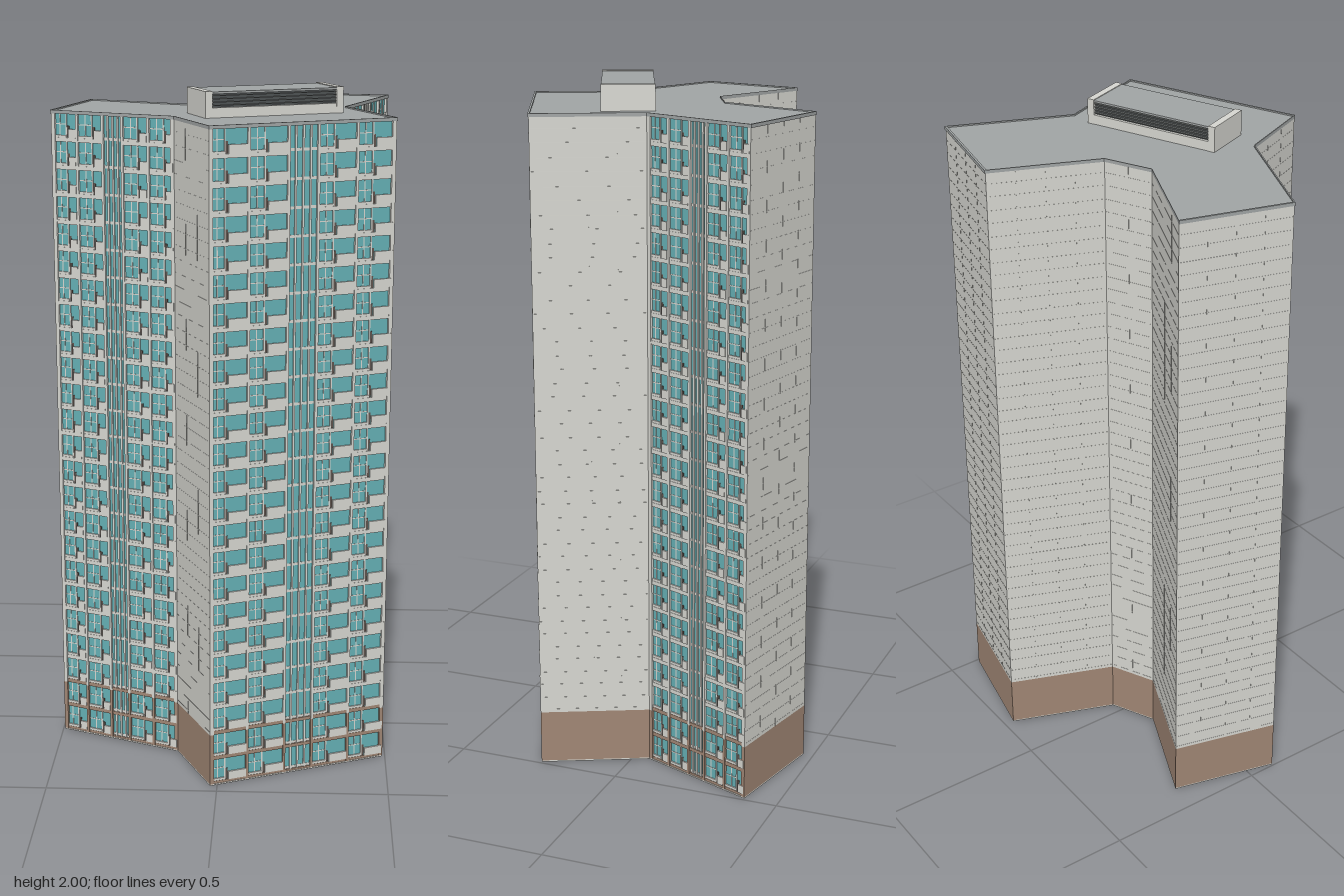
import * as THREE from 'three';
import { mergeGeometries } from 'three/addons/utils/BufferGeometryUtils.js';

const mat = (name, color) => {
  const m = new THREE.MeshStandardMaterial({ color });
  m.name = name;
  return m;
};

// Footprint corners as [x, z], ordered left to right when seen from outside
const PLAN = [
  [-0.495, 0.085], [-0.13, 0.235], [-0.02, 0.467], [0.492, 0.242], [0.355, -0.05],
  [0.492, -0.4], [0.155, -0.47], [0.035, -0.16], [-0.1, -0.095], [-0.412, -0.23],
];
// Edges (by start corner) that carry windows, with the balcony share of each bay
const FACADES = { 0: 0.42, 2: 0.6, 4: 0.42 };
const FLOORS = 24, PITCH = 0.08, BASE = 0.16, TOP = FLOORS * PITCH, DEPTH = 0.009;

export function createModel() {
  const M = {
    wall: mat('pale concrete', 0xd6d6d0),
    base: mat('brown base', 0xa08674),
    roof: mat('roof grey', 0xa0a4a4),
    glass: mat('teal glass', 0x64afb4),
    dark: mat('dark brown recess', 0x5e534d),
    louvre: mat('louvre dark grey', 0x4d5152),
    slat: mat('louvre slat grey', 0x787c7b),
  };
  const model = new THREE.Group();
  model.name = 'apartmentTower';

  const edge = (i) => {
    const a = PLAN[i], b = PLAN[(i + 1) % PLAN.length];
    const L = Math.hypot(b[0] - a[0], b[1] - a[1]);
    return { a, b, L, t: [(b[0] - a[0]) / L, (b[1] - a[1]) / L] };
  };

  // Horizontal slab from an outline, between two heights
  const toShape = (pts) => new THREE.Shape(pts.map(([x, z]) => new THREE.Vector2(x, -z)));
  const prism = (name, shape, y0, y1, material) => {
    const g = new THREE.ExtrudeGeometry(shape, { depth: y1 - y0, bevelEnabled: false });
    g.rotateX(-Math.PI / 2).translate(0, y0, 0);
    const mesh = new THREE.Mesh(g, material);
    mesh.name = name;
    model.add(mesh);
  };

  // Core outline: the window edges are recessed between solid corners
  const core = [];
  PLAN.forEach((p, i) => {
    core.push(p);
    if (!(i in FACADES)) return;
    const { a, b, t } = edge(i), c = 0.007;
    const n = [-t[1], t[0]];
    const at = (q, s, d) => [q[0] + t[0] * s - n[0] * d, q[1] + t[1] * s - n[1] * d];
    core.push(at(a, c, 0), at(a, c, DEPTH), at(b, -c, DEPTH), at(b, -c, 0));
  });
  prism('groundSlab', toShape(PLAN), 0, 0.004, M.wall);
  prism('baseWalls', toShape(core), 0.004, BASE, M.base);
  prism('towerWalls', toShape(core), BASE, TOP, M.wall);

  // Roof slab with a low, narrow rim
  const grow = (k) => PLAN.map(([x, z]) => [x * k, z * k]);
  prism('roofSlab', toShape(grow(1.005)), TOP, TOP + 0.006, M.roof);
  const rim = toShape(grow(1.005));
  rim.holes.push(toShape(grow(0.992)));
  prism('roofRim', rim, TOP + 0.006, TOP + 0.01, M.roof);

  // Collects boxes per material and merges them into one mesh each
  const collector = () => {
    const bins = new Map();
    return {
      box(key, x0, x1, y0, y1, z0, z1) {
        const g = new THREE.BoxGeometry(x1 - x0, y1 - y0, z1 - z0);
        g.translate((x0 + x1) / 2, (y0 + y1) / 2, (z0 + z1) / 2);
        if (!bins.has(key)) bins.set(key, []);
        bins.get(key).push(g);
      },
      finish(group, names) {
        for (const [key, list] of bins) {
          const mesh = new THREE.Mesh(mergeGeometries(list), M[key]);
          mesh.name = names[key];
          group.add(mesh);
        }
      },
    };
  };

  // Local x runs along the wall, local z points outward
  const wallGroup = (name, { a, t }) => {
    const g = new THREE.Group();
    g.name = name;
    g.position.set(a[0], 0, a[1]);
    g.rotation.y = Math.atan2(-t[1], t[0]);
    model.add(g);
    return g;
  };

  function buildFacade(i, share) {
    const e = edge(i), group = wallGroup('windowFacade', e), { box, finish } = collector();
    const L = e.L, back = -DEPTH, pane = back + 0.002, bar = pane + 0.001;
    const mid = L * 0.16, bay = (L - mid) / 4, half = 0.004;

    // Glass behind the whole front
    box('glass', 0.007, L - 0.007, 0.004, TOP, back, pane);

    // Full-height piers between the bays
    const starts = [0, bay, 2 * bay + mid, 3 * bay + mid];
    for (const x of [0.008, bay, 2 * bay, 2 * bay + mid, 3 * bay + mid, L - 0.008]) {
      box('base', x - half, x + half, 0.004, BASE, back, 0);
      box('wall', x - half, x + half, BASE, TOP, back, 0);
    }

    // Tall stair glazing in the middle with pale uprights
    const m0 = 2 * bay;
    for (let k = 1; k < 4; k++) {
      const x = m0 + (k * mid) / 4;
      box('wall', x - 0.003, x + 0.003, 0.004, TOP, back, -0.003);
    }

    for (let f = 0; f < FLOORS; f++) {
      const y = f * PITCH, band = y <= BASE ? 'base' : 'wall';
      const y0 = Math.max(y, 0.004), y1 = y + 0.012, y2 = y + PITCH;
      box('wall', m0, m0 + mid, y + 0.01, y + 0.018, back, bar);
      if (band === 'base') box('base', m0, m0 + mid, y0, y + 0.01, back, -0.002);

      for (const s of starts) {
        const x0 = s + half, x1 = s + bay - half;
        const cut = x0 + (x1 - x0) * (1 - share), c = (x0 + cut) / 2;
        // Floor band, with a pale sill above it under the window
        box(band, x0, x1, y0, y1, back, -0.002);
        box('wall', x0, cut, y1, y + 0.019, back, -0.003);
        // Window cross bars
        box('wall', c - 0.0015, c + 0.0015, y + 0.019, y2, back, bar);
        box('wall', x0, cut, y + 0.049, y + 0.052, back, bar);
        // Balcony: slim dividing wall, dark reveal and pale parapet
        box('wall', cut - 0.002, cut + 0.002, y1, y2, back, -0.004);
        box('dark', cut + 0.002, cut + 0.009, y1, y + 0.046, back, bar);
        box('wall', cut + 0.009, x1, y1, y + 0.037, -0.004, 0.001);
      }
    }
    finish(group, { glass: 'windowGlass', wall: 'facadeFrame', base: 'baseFrame', dark: 'balconyReveals' });
  }

  // Blank walls with fine raised joints, two to a floor, and between panels
  function buildBlankWall(i) {
    const e = edge(i), group = wallGroup('blankWall', e), { box, finish } = collector();
    const w = 0.0006;
    for (let f = 2; f < FLOORS; f++) {
      for (const y of [f * PITCH + 0.01, f * PITCH + 0.048]) {
        box('wall', 0.004, e.L - 0.004, y - w, y + w, -0.001, 0.0005);
      }
    }
    const panels = Math.max(2, Math.round(e.L / 0.08));
    for (let k = 1; k < panels; k++) {
      const x = (e.L * k) / panels;
      box('wall', x - w, x + w, BASE, TOP, -0.001, 0.0005);
    }
    finish(group, { wall: 'panelJoints' });
  }

  PLAN.forEach((_, i) => (i in FACADES ? buildFacade(i, FACADES[i]) : buildBlankWall(i)));

  // Rooftop plant room: pale ends and ledges, louvred long sides
  const plant = new THREE.Group();
  plant.name = 'plantRoom';
  plant.position.set(0.1225, TOP, 0.104);
  plant.rotation.y = Math.atan2(0.165, 0.385);
  model.add(plant);
  const { box, finish } = collector();
  const hl = 0.21, hw = 0.076, H = 2 - TOP;
  for (const s of [-1, 1]) {
    const xa = s * hl, xb = s * (hl - 0.021);
    box('wall', Math.min(xa, xb), Math.max(xa, xb), 0, H, -hw, hw);
    const strip = (key, y0, y1, d0, d1) =>
      box(key, -hl + 0.021, hl - 0.021, y0, y1, Math.min(s * d0, s * d1), Math.max(s * d0, s * d1));
    strip('wall', 0, 0.034, hw - 0.02, hw - 0.001);
    for (let k = 0; k < 4; k++) strip('slat', 0.039 + k * 0.009, 0.041 + k * 0.009, hw - 0.012, hw - 0.003);
  }
  box('louvre', -hl + 0.02, hl - 0.02, 0, H - 0.008, -hw + 0.01, hw - 0.01);
  box('roof', -hl + 0.02, hl - 0.02, H - 0.008, H - 0.002, -hw + 0.001, hw - 0.001);
  finish(plant, { wall: 'plantRoomWalls', louvre: 'louvreBack', slat: 'louvreSlats', roof: 'plantRoomRoof' });

  return model;
}
